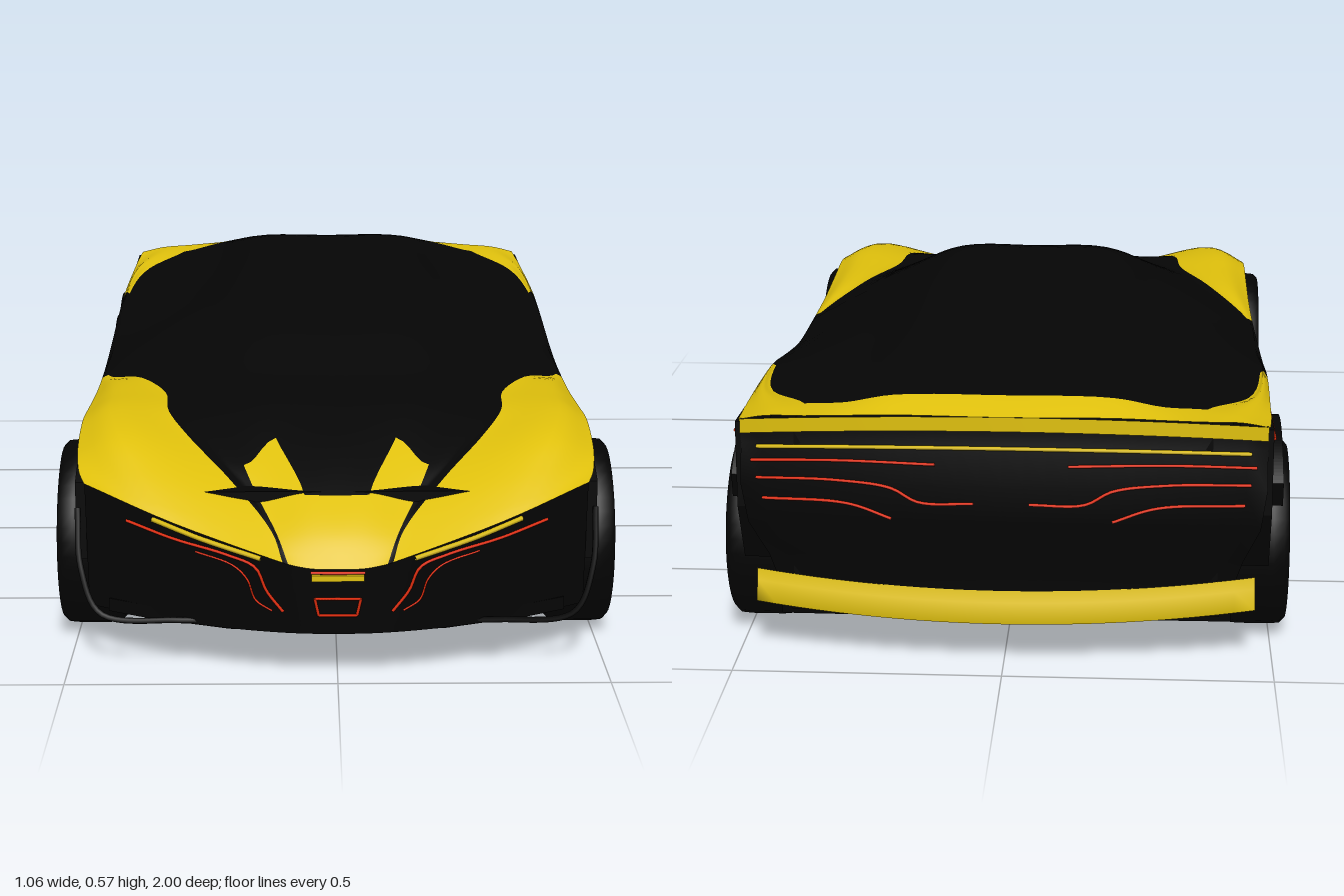
import * as THREE from 'three';

const material = (name, color) => {
  const m = new THREE.MeshStandardMaterial({ color, side: THREE.DoubleSide });
  m.name = name;
  return m;
};

export function createModel() {
  const yellow = material('yellow paint', 0xdfc00c);
  const black = material('black body', 0x050505);
  const rubber = material('tyre rubber', 0x040404);
  const red = material('red trim', 0xee300e);
  const car = new THREE.Group();
  car.name = 'sportsCar';

  const add = (name, geometry, mat, parent = car) => {
    const mesh = new THREE.Mesh(geometry, mat);
    mesh.name = name;
    parent.add(mesh);
    return mesh;
  };
  const V = (x, y, z) => new THREE.Vector3(x, y, z);
  const spline = (pts) => new THREE.CatmullRomCurve3(pts, false, 'centripetal');

  // Smooth sheet over u, v in 0..1; isSecond sends a cell to the second material
  const sheet = (nu, nv, fn, isSecond = () => false) => {
    const pos = [], parts = [[], []];
    for (let j = 0; j <= nv; j++)
      for (let i = 0; i <= nu; i++) pos.push(...fn(i / nu, j / nv).toArray());
    for (let j = 0; j < nv; j++)
      for (let i = 0; i < nu; i++) {
        const a = j * (nu + 1) + i, c = a + nu + 1;
        parts[isSecond(i, j) ? 1 : 0].push(a, c, a + 1, a + 1, c, c + 1);
      }
    const g = new THREE.BufferGeometry();
    g.setAttribute('position', new THREE.Float32BufferAttribute(pos, 3));
    g.setIndex([...parts[0], ...parts[1]]);
    g.addGroup(0, parts[0].length, 0);
    g.addGroup(parts[0].length, parts[1].length, 1);
    g.computeVertexNormals();
    return g;
  };

  // Plan curves of nose and tail
  const nose = (x) => 1 - 0.72 * x * x;
  const tail = (x) => -0.985 + 0.2 * x * x;
  const noseEdge = (x) => Math.max(0.221, 0.2 + 0.29 * Math.abs(x));
  const face = (x, y) => nose(x) - 0.16 * Math.max(0, noseEdge(x) - y);

  // Feature lines of the upper shell, nose to tail, from centre to fender edge
  const centre = [[0, .218, 1], [0, .27, .955], [0, .32, .87], [0, .385, .72], [0, .422, .6], [0, .458, .45],
    [0, .505, .3], [0, .54, .13], [0, .56, -.15], [0, .56, -.5], [0, .542, -.75], [0, .515, -.915], [0, .495, -.985]];
  const hood = [[.05, .219, .998], [.055, .27, .95], [.06, .32, .865], [.115, .387, .7], [.14, .422, .6], [.16, .455, .45],
    [.165, .502, .3], [.165, .538, .13], [.168, .558, -.15], [.168, .557, -.5], [.18, .54, -.75], [.2, .512, -.912], [.2, .494, -.977]];
  const tip = [[.09, .226, .994], [.11, .265, .94], [.15, .315, .84], [.175, .352, .77], [.22, .41, .6], [.24, .435, .45],
    [.27, .465, .3], [.275, .492, .13], [.28, .504, -.15], [.28, .504, -.5], [.29, .5, -.75], [.29, .495, -.908], [.3, .488, -.967]];
  const inner = [[.1, .229, .993], [.12, .268, .93], [.2, .335, .81], [.28, .385, .69], [.325, .412, .59], [.34, .418, .45],
    [.4, .415, .3], [.484, .382, .13], [.487, .395, -.15], [.484, .442, -.5], [.45, .462, -.74], [.37, .481, -.875], [.36, .484, -.959]];
  const crown = [[.3, .287, .935], [.33, .313, .9], [.37, .357, .83], [.41, .4, .74], [.44, .42, .6], [.445, .416, .45],
    [.46, .405, .3], [.491, .379, .13], [.496, .384, -.15], [.49, .445, -.5], [.472, .468, -.74], [.43, .48, -.9], [.43, .48, -.948]];
  const edge = [[.47, .336, .841], [.48, .343, .81], [.487, .35, .775], [.493, .367, .72], [.495, .393, .6], [.495, .388, .45],
    [.495, .38, .3], [.497, .375, .13], [.505, .37, -.15], [.499, .432, -.5], [.492, .453, -.74], [.487, .461, -.88], [.482, .469, -.939]];
  const half = [edge, crown, inner, tip, hood];
  const mirror = half.map((l) => l.map(([x, y, z]) => [-x, y, z])).reverse();
  const lines = [...half, centre, ...mirror].map((l) => spline(l.map((p) => V(...p))));
  const yellowUntil = [2, 3, 0, 7, 7], yellowFrom = [11, 11, 11, 9, 9];
  const sub = 5, stations = 12;
  const rows = Array.from({ length: stations * sub + 1 }, (_, j) =>
    spline(lines.map((c) => c.getPoint(j / (stations * sub)))));
  add('upperShell', sheet(10 * sub, stations * sub,
    (u, v) => rows[Math.round(v * stations * sub)].getPoint(u),
    (i, j) => {
      const k = Math.floor(i / sub), strip = k < 5 ? 4 - k : k - 5, s = j / sub;
      return s < yellowUntil[strip] || s >= yellowFrom[strip];
    }), [black, yellow]);

  // Front bumper below the yellow nose
  add('frontBumper', sheet(32, 5, (u, v) => {
    const x = (u * 2 - 1) * 0.47, y = THREE.MathUtils.lerp(noseEdge(x), 0.086, v);
    return V(x, y, face(x, y) - 0.006);
  }), black);

  // Rear panels: rows of [height, z offset, width scale]
  const rearSheet = (table, rise) => sheet(24, table.length - 1, (u, v) => {
    const [y, dz, w] = table[Math.round(v * (table.length - 1))];
    const x = (1 - u * 2) * 0.48;
    return V(-x * w, y + rise * x * x, tail(x) + dz);
  });
  add('rearPanel', rearSheet([[.488, .004, 1], [.44, .008, 1], [.37, -.013, 1], [.29, 0, .98],
    [.21, .045, .92], [.15, .05, .88], [.085, .06, .88]], -0.08), black);
  add('rearTopLip', rearSheet([[.495, 0, 1], [.468, 0, 1]], -0.11), yellow);
  add('rearLowerLip', rearSheet([[.142, .05, .97], [.12, .045, .97], [.084, .03, .97], [.083, .05, .97]], 0.08), yellow);

  // Side panels with wheel arches, drawn in (z, y)
  const wheelZ = [0.62, -0.69], arch = 0.19, low = 0.493;
  const side = new THREE.Shape();
  side.moveTo(-.93, .462);
  side.lineTo(-.935, .3);
  side.lineTo(-.88, .18);
  side.absarc(wheelZ[1], .18, arch, Math.PI, -low, true);
  side.absarc(wheelZ[0], .18, arch, Math.PI + low, 0, true);
  [[.81, .33], [.77, .348], [.72, .365], [.6, .39], [.3, .38], [.13, .375], [-.15, .37], [-.5, .433], [-.74, .453]]
    .forEach((p) => side.lineTo(...p));
  const slab = (shape, depth, x) =>
    new THREE.ExtrudeGeometry(shape, { depth, bevelEnabled: false, curveSegments: 24 })
      .rotateY(-Math.PI / 2).translate(x, 0, 0);
  const poly = (pts) => new THREE.Shape(pts.map((p) => new THREE.Vector2(...p)));
  const sillFront = poly([[.17, .084], [.42, .084], [.44, .15], [.38, .135], [.15, .1]]);
  const sillRear = poly([[-.49, .084], [-.01, .084], [-.1, .118], [-.25, .135], [-.47, .158]]);
  // Flared lip over the rear wheel
  const flare = new THREE.Shape();
  flare.absarc(wheelZ[1], .18, .225, .75, Math.PI - .75, false);
  flare.absarc(wheelZ[1], .18, arch, Math.PI - .6, .6, true);

  // Thin trim line through points
  const trim = (name, pts, mat = red, r = 0.003) =>
    add(name, new THREE.TubeGeometry(spline(pts), 32, r, 5), mat);

  for (const s of [1, -1]) {
    const label = s > 0 ? 'left' : 'right';
    add(label + 'SidePanel', slab(side, .06, s > 0 ? .49 : -.43), black);
    add(label + 'RearFlare', slab(flare, .07, s > 0 ? .515 : -.445), black);
    add(label + 'FrontSill', slab(sillFront, .03, s > 0 ? .497 : -.467), yellow);
    add(label + 'RearSill', slab(sillRear, .03, s > 0 ? .497 : -.467), yellow);
    const onSide = (pts) => pts.map(([z, y]) => V(s * .492, y, z));
    trim(label + 'UpperTrim', onSide([[.37, .352], [.2, .347], [0, .357], [-.2, .368], [-.46, .383]]));
    trim(label + 'DoorTrim', onSide([[.39, .165], [.34, .2], [.29, .245], [.2, .285], [0, .31], [-.42, .352]]));
    trim(label + 'LowerTrim', onSide([[.39, .165], [.1, .178], [-.15, .195], [-.43, .208]]));
    for (const y of [.191, .2, .209])
      trim(label + 'VentBar', onSide([[-.3, y - .003], [-.38, y]]));
    trim(label + 'ArchTrim', onSide([[-.49, .16], [-.495, .26], [-.53, .35], [-.6, .407], [-.7, .43], [-.82, .438], [-.92, .442]]));
    // Front lamp lines following the bumper
    const onFace = (pts) => pts.map(([x, y]) => V(s * x, y, face(x, y) - .003));
    trim(label + 'FrontTrim', onFace([[.39, .277], [.3, .255], [.2, .235], [.15, .215], [.13, .17], [.1, .13]]));
    trim(label + 'FrontInnerTrim', onFace([[.26, .235], [.19, .215], [.165, .19], [.15, .15], [.12, .13]]), red, .002);
    trim(label + 'FrontYellowTrim', onFace([[.34, .288], [.25, .262], [.14, .233]]), yellow, .005);
    // Corner winglet
    trim(label + 'Winglet', [V(s * .487, .28, .81), V(s * .478, .18, .865), V(s * .44, .1, .895), V(s * .3, .092, .91), V(s * .25, .092, .91)], black, .006);
    // Rear lamp lines
    const onTail = (pts, dz) => pts.map(([x, y]) => V(s * x, y, tail(x) + dz));
    trim(label + 'RearUpperTrim', onTail([[.46, .395], [.3, .405], [.12, .405]], -.006));
    trim(label + 'RearMiddleTrim', onTail([[.45, .365], [.3, .37], [.2, .36], [.15, .335], [.05, .335]], -.014));
    trim(label + 'RearLowerTrim', onTail([[.44, .325], [.28, .325], [.2, .3]], -.01));
  }
  trim('rearYellowTrim', [-.45, -.25, 0, .25, .45].map((x) => V(x, .435 - .08 * x * x, tail(x) + .003)), yellow, .004);

  // Nose badge bar and small grille frame
  add('noseBar', new THREE.BoxGeometry(.095, .011, .009), yellow).position.set(0, .2, face(0, .2) - .003);
  trim('noseBarTrim', [-.05, 0, .05].map((x) => V(x, .21, face(x, .21) - .002)));
  const frame = [[-.042, .158], [.042, .158], [.035, .125], [-.035, .125]];
  frame.forEach(([x, y], i) => {
    const [x2, y2] = frame[(i + 1) % 4];
    trim('grilleFrame', [V(x, y, face(x, y) - .003), V(x2, y2, face(x2, y2) - .003)]);
  });

  // Floor, inner body and wheel liners
  const plan = [[0, .965], [.2, .935], [.35, .875], [.43, .83], [.4, .8], [.4, .455], [.485, .455],
    [.485, -.523], [.4, -.523], [.4, -.88], [.4, -.9], [0, -.92]];
  const floorShape = poly([...plan, ...plan.slice(1, -1).reverse().map(([x, z]) => [-x, z])].map(([x, z]) => [x, -z]));
  add('floor', new THREE.ExtrudeGeometry(floorShape, { depth: .025, bevelEnabled: false })
    .rotateX(-Math.PI / 2).translate(0, .084, 0), black);
  const block = (name, w, y0, y1, z0, z1) =>
    add(name, new THREE.BoxGeometry(w, y1 - y0, z1 - z0), black).position.set(0, (y0 + y1) / 2, (z0 + z1) / 2);
  block('innerBody', .79, .095, .362, -.9, .7);
  block('frontInnerBody', .72, .095, .325, .7, .86);
  block('rearInnerBody', .76, .27, .465, -.95, -.6);
  block('wheelLiner', .96, .36, .368, -.9, .68);

  // Wheels with open rims
  const tyreProfile = [[.142, -.058], [.168, -.06], [.178, -.05], [.18, -.03], [.18, .03], [.178, .05],
    [.168, .06], [.142, .058], [.142, -.058]].map((p) => new THREE.Vector2(...p));
  for (const s of [1, -1]) for (const z of wheelZ) {
    const wheel = new THREE.Group();
    wheel.name = (z > 0 ? 'front' : 'rear') + (s > 0 ? 'Left' : 'Right') + 'Wheel';
    wheel.position.set(s * .47, .18, z);
    add('tyre', new THREE.LatheGeometry(tyreProfile, 40).rotateZ(Math.PI / 2), rubber, wheel);
    add('hub', new THREE.CylinderGeometry(.03, .035, .05, 20).rotateZ(-s * Math.PI / 2), black, wheel).position.x = s * .025;
    for (let k = 0; k < 5; k++) for (const d of [-.13, .13])
      add('spoke', new THREE.BoxGeometry(.014, .13, .013).translate(s * .04, .082, 0)
        .rotateX(k * Math.PI * 2 / 5 + d), black, wheel);
    car.add(wheel);
  }
  return car;
}
